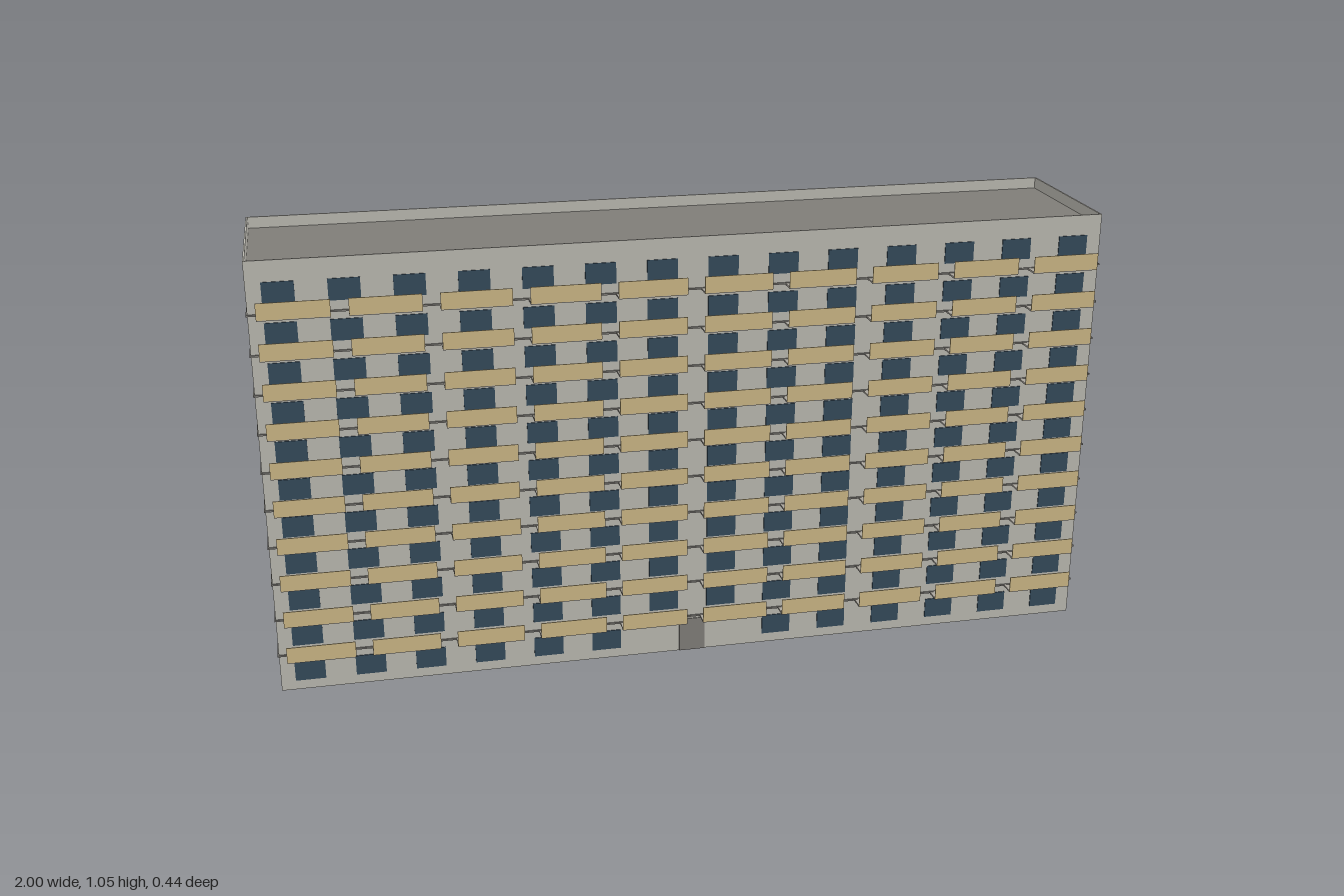
import * as THREE from 'three';
import { mergeGeometries } from 'three/addons/utils/BufferGeometryUtils.js';

const FLOORS = 11, STEP = 0.0932, HEIGHT = 1.055;
const HX = 0.997, HZ = 0.198, CZ = -0.018; // body half sizes and centre depth
const FRONT = CZ + HZ, BACK = CZ - HZ;

function material(name, color) {
  const m = new THREE.MeshStandardMaterial({ color });
  m.name = name;
  return m;
}

function box(w, h, d, x, y, z) {
  return new THREE.BoxGeometry(w, h, d).translate(x, y, z);
}

// Rectangular outline, optionally wound as a hole
function rectangle(PathType, hx, hz) {
  return new PathType([[-hx, -hz], [hx, -hz], [hx, hz], [-hx, hz]].map(([x, y]) => new THREE.Vector2(x, y)));
}

export function createModel() {
  const concrete = material('concrete', 0xb9b7af);
  const darkConcrete = material('dark concrete', 0x7f7d78);
  const slabGrey = material('balcony slab grey', 0xaaa69e);
  const ochre = material('ochre panel', 0xc9b584);
  const glass = material('dark blue glass', 0x34495a);

  const group = new THREE.Group();
  const add = (name, geometries, mat) => {
    const mesh = new THREE.Mesh(mergeGeometries(geometries), mat);
    mesh.name = name;
    group.add(mesh);
  };

  // Hollow outer walls, open at the bottom and rising to a parapet
  const outline = rectangle(THREE.Shape, HX, HZ);
  outline.holes.push(rectangle(THREE.Path, HX - 0.004, HZ - 0.004));
  const walls = new THREE.ExtrudeGeometry(outline, { depth: HEIGHT, bevelEnabled: false });
  walls.rotateX(-Math.PI / 2).translate(0, 0, CZ);
  add('walls', [walls], concrete);

  // Floor slabs showing as thin bands, and the sunken roof deck
  const bands = [];
  for (let f = 1; f < FLOORS; f++) {
    bands.push(box(2, 0.004, 2 * HZ + 0.007, 0, f * STEP, CZ));
  }
  add('floorSlabs', bands, darkConcrete);
  add('roof', [box(2 * HX - 0.004, 0.006, 2 * HZ - 0.004, 0, FLOORS * STEP, CZ)], darkConcrete);

  // Windows: fourteen per long side and two per end; the entrance bay has none
  const windows = [];
  for (let f = 0; f < FLOORS; f++) {
    const y = f * STEP + 0.049;
    for (let i = 0; i < 14; i++) {
      const x = (i - 6.5) * 0.1427;
      const entrance = f === 0 && (i === 6 || i === 7);
      if (!entrance) windows.push(box(0.071, 0.05, 0.004, x, y, FRONT));
      windows.push(box(0.071, 0.05, 0.004, x, y, BACK));
    }
    for (const side of [-1, 1]) {
      for (const dz of [-0.099, 0.099]) {
        windows.push(box(0.004, 0.05, 0.071, side * HX, y, CZ + dz));
      }
    }
  }
  add('windows', windows, glass);

  // Entrance door
  add('door', [box(0.064, 0.086, 0.004, 0, 0.043, FRONT)], darkConcrete);

  // Balconies: a thin slab with a front panel only
  const slabs = [], panels = [];
  for (let f = 1; f < FLOORS; f++) {
    for (let i = 0; i < 10; i++) {
      const x = (i - 4.5) * 0.1995;
      slabs.push(box(0.16, 0.004, 0.04, x, f * STEP - 0.001, FRONT + 0.018));
      panels.push(box(0.16, 0.039, 0.002, x, f * STEP + 0.0185, FRONT + 0.038));
    }
  }
  add('balconySlabs', slabs, slabGrey);
  add('balconyPanels', panels, ochre);

  return group;
}
